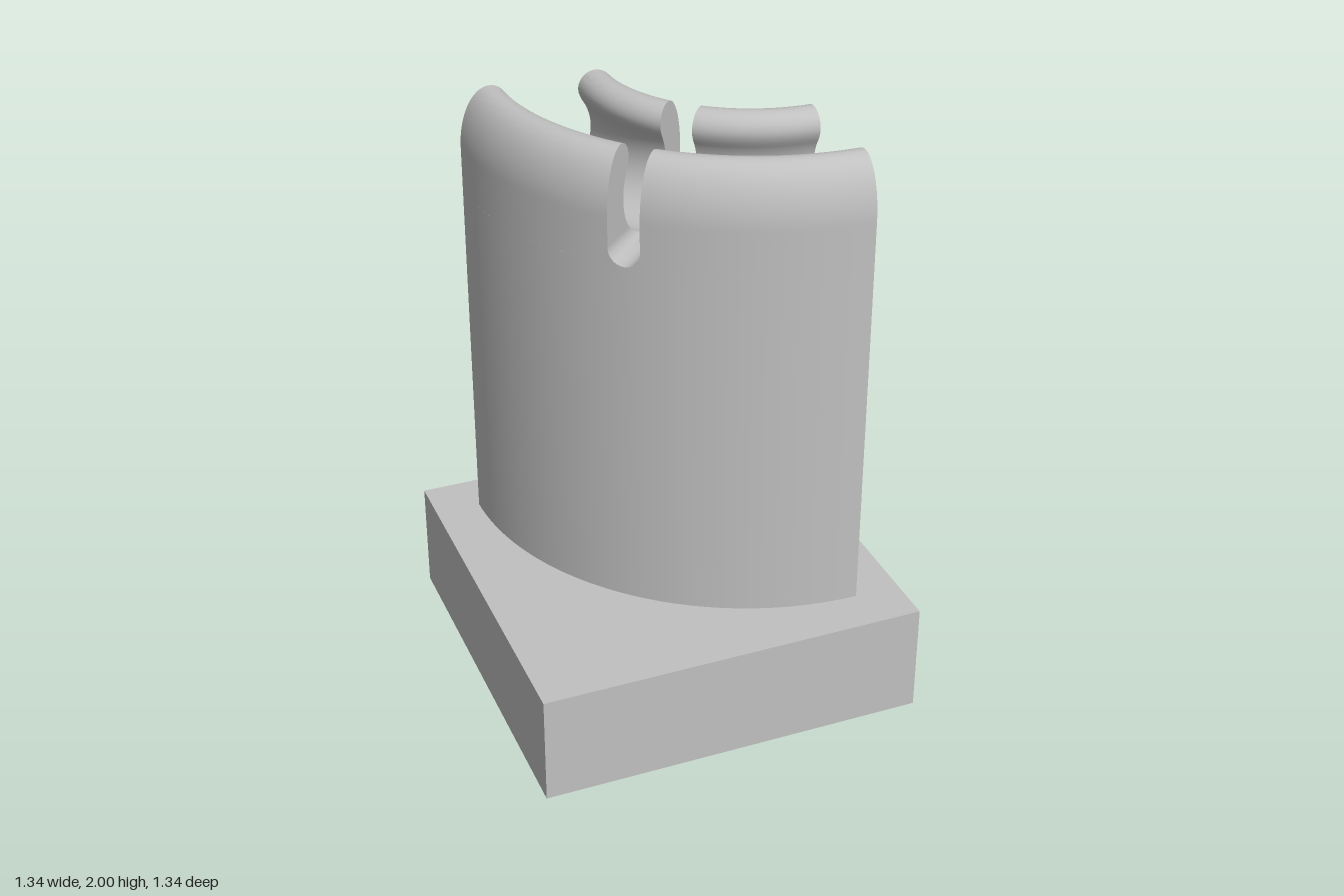
import * as THREE from 'three';
import { mergeGeometries, toCreasedNormals } from 'three/addons/utils/BufferGeometryUtils.js';

const CX = 0.51, CZ = -0.51;        // axis of the quarter ring
const MID = 0.73, HALF = 0.29;      // middle radius and half thickness of the ring
const BASE = 0.39, FLOOR = 1.638, TOP = 2;
const ARC_STEPS = 24, Y_STEPS = 40;

// distance from the middle radius to the channel side and the outer side of a lip
function channelSide(y) {
  if (y < 1.907) return Math.sqrt(Math.max(0, 0.167 ** 2 - (y - 1.805) ** 2));
  return 0.185 - Math.sqrt(Math.max(0, 0.06 ** 2 - (y - 1.94) ** 2));
}
function outerSide(y) {
  const t = Math.max(0, (y - 1.8) / 0.2);
  return HALF - 0.105 + 0.105 * Math.sqrt(Math.max(0, 1 - t * t));
}
// half width of the round-bottomed diagonal slot
function slotHalf(y) {
  const r = 0.055, d = Math.min(0, y - FLOOR - r);
  return Math.sqrt(Math.max(0, r * r - d * d));
}
const level = (v) => FLOOR + (TOP - FLOOR) * (1 - Math.cos(Math.PI * v)) / 2;

// grid surface from a point function of (a, b) in 0..1
function surface(point, na, nb, flip) {
  const pos = [], index = [];
  for (let j = 0; j <= nb; j++)
    for (let i = 0; i <= na; i++) pos.push(...point(i / na, j / nb));
  for (let j = 0; j < nb; j++)
    for (let i = 0; i < na; i++) {
      const a = j * (na + 1) + i, b = a + 1, c = a + na + 1, d = c + 1;
      if (flip) index.push(a, d, b, a, c, d);
      else index.push(a, b, d, a, d, c);
    }
  const g = new THREE.BufferGeometry();
  g.setAttribute('position', new THREE.Float32BufferAttribute(pos, 3));
  g.setIndex(index);
  return g.toNonIndexed();
}

// one curved lip: side = +1 outer / -1 inner, mirrored = other side of the slot
function lip(side, mirrored) {
  const at = (u, s, y) => {
    const r = MID + side * s;
    let a = u * (Math.PI / 4 - Math.asin(slotHalf(y) / r));
    if (mirrored) a = Math.PI / 2 - a;
    return [CX - r * Math.cos(a), y, CZ + r * Math.sin(a)];
  };
  const flip = (side < 0) !== mirrored;
  const cap = (u) => (k, v) => {
    const y = level(v);
    return at(u, THREE.MathUtils.lerp(channelSide(y), outerSide(y), k), y);
  };
  return [
    surface((u, v) => at(u, outerSide(level(v)), level(v)), ARC_STEPS, Y_STEPS, flip),
    surface((u, v) => at(u, channelSide(level(v)), level(v)), ARC_STEPS, Y_STEPS, !flip),
    surface(cap(0), 1, Y_STEPS, flip),
    surface(cap(1), 1, Y_STEPS, !flip),
  ];
}

// quarter-ring column below the channel
function columnGeometry() {
  const s = new THREE.Shape();
  s.absarc(CX, -CZ, MID + HALF, Math.PI, 1.5 * Math.PI, false);
  s.absarc(CX, -CZ, MID - HALF, 1.5 * Math.PI, Math.PI, true);
  s.closePath();
  const g = new THREE.ExtrudeGeometry(s, {
    depth: FLOOR - BASE, bevelEnabled: false, curveSegments: ARC_STEPS * 2,
  });
  g.rotateX(-Math.PI / 2).translate(0, BASE, 0);
  return toCreasedNormals(g, 0.5);
}

export function createModel() {
  const group = new THREE.Group();
  const grey = new THREE.MeshStandardMaterial({ color: 0xc0c0c0 });
  grey.name = 'light grey';
  const add = (name, geometry) => {
    const mesh = new THREE.Mesh(geometry, grey);
    mesh.name = name;
    group.add(mesh);
  };

  // square base block
  add('base', new THREE.BoxGeometry(1.34, BASE, 1.34).translate(0, BASE / 2, 0));

  add('column', columnGeometry());

  // rounded lips around the channel, split by the diagonal slot
  const parts = [];
  for (const side of [1, -1])
    for (const mirrored of [false, true]) parts.push(...lip(side, mirrored));
  add('channelLips', toCreasedNormals(mergeGeometries(parts), 0.6));

  return group;
}
